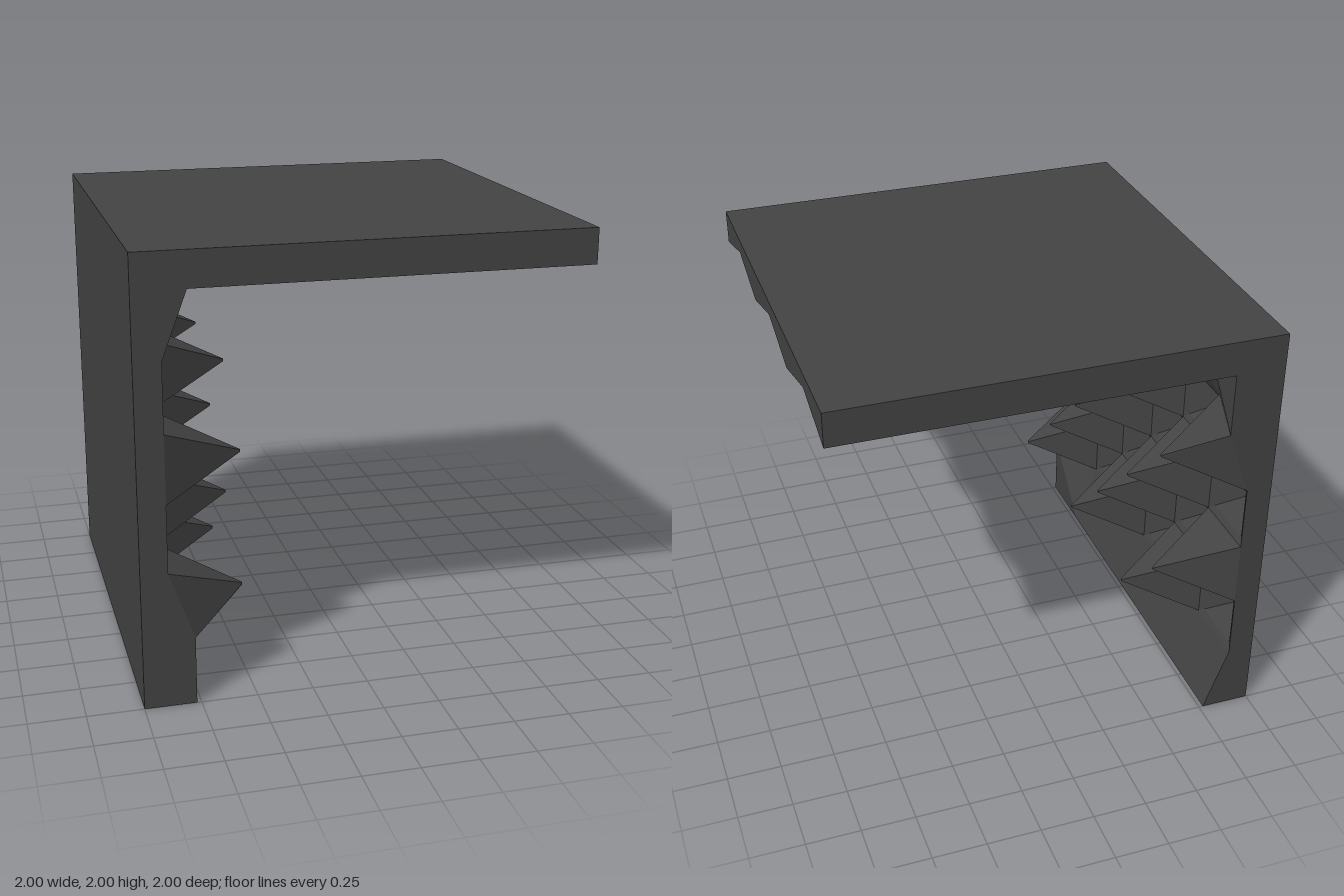
import * as THREE from 'three';

const WALL = -0.88, LIP = -0.77, TIP = -0.53, ROOF = 1.84;
const COLS = 6, ROWS = 4, Y0 = 0.31, Y1 = 1.545;
const material = new THREE.MeshStandardMaterial({ color: 0x444444, flatShading: true });

const colZ = (c) => 1 - (2 * c) / COLS;
const rowY = (r) => Y0 + ((Y1 - Y0) * r) / ROWS;
// zigzag ridge line of the underside of the roof
const soffitY = (c) => (c % 2 ? 1.93 : ROOF);
// two opposite grid corners are pulled forward to the lip
const gridX = (c, r) => ((c === 0 && r === 0) || (c === COLS && r === ROWS) ? LIP : WALL);
const node = (c, r) => [gridX(c, r), rowY(r), colZ(c)];

// corners: lower left, lower right, upper right, upper left, seen from outside
function quad(out, ll, lr, ur, ul) {
  out.push(...ll, ...lr, ...ul, ...lr, ...ur, ...ul);
}

function addMesh(group, name, geometry) {
  const mesh = new THREE.Mesh(geometry, material);
  mesh.name = name;
  group.add(mesh);
}

function addSurface(group, name, positions) {
  const g = new THREE.BufferGeometry();
  g.setAttribute('position', new THREE.Float32BufferAttribute(positions, 3));
  g.computeVertexNormals();
  addMesh(group, name, g);
}

function flat(points) {
  return new THREE.ShapeGeometry(new THREE.Shape(points.map(([x, y]) => new THREE.Vector2(x, y))));
}

// four sides joining two square rings of corners
function ringWalls(out, outer, inner) {
  for (let i = 0; i < 4; i++) {
    const j = (i + 1) % 4;
    quad(out, outer[i], outer[j], inner[j], inner[i]);
  }
}

export function createModel() {
  const group = new THREE.Group();
  group.name = 'studdedWallWithCanopy';

  // alternating spikes and sunken pockets
  const spikes = [], pockets = [];
  for (let r = 0; r < ROWS; r++) {
    for (let c = 0; c < COLS; c++) {
      const corners = [node(c, r), node(c + 1, r), node(c + 1, r + 1), node(c, r + 1)];
      const cy = (rowY(r) + rowY(r + 1)) / 2, cz = (colZ(c) + colZ(c + 1)) / 2;
      const ring = (x, s) => corners.map(([, y, z]) => [x, cy + (y - cy) * s, cz + (z - cz) * s]);
      if ((r + c) % 2 === 0) {
        const tip = ring(TIP, 0.03);
        ringWalls(spikes, corners, tip);
        quad(spikes, ...tip);
      } else {
        const rim = ring(WALL - 0.015, 0.8), floor = ring(-0.99, 0.12);
        ringWalls(pockets, corners, rim);
        ringWalls(pockets, rim, floor);
        quad(pockets, ...floor);
      }
    }
  }
  addSurface(group, 'spikes', spikes);
  addSurface(group, 'pockets', pockets);

  // sloping strips below and above the studs, and the ridged soffit
  const skirt = [], cove = [], soffit = [];
  for (let c = 0; c < COLS; c++) {
    const z = colZ(c), zn = colZ(c + 1), y = soffitY(c), yn = soffitY(c + 1);
    quad(skirt, [LIP, 0, z], [LIP, 0, zn], node(c + 1, 0), node(c, 0));
    quad(cove, node(c, ROWS), node(c + 1, ROWS), [LIP, yn, zn], [LIP, y, z]);
    quad(soffit, [LIP, y, z], [LIP, yn, zn], [1, yn, zn], [1, y, z]);
  }
  addSurface(group, 'skirt', skirt);
  addSurface(group, 'cove', cove);
  addSurface(group, 'soffit', soffit);

  // flat outer faces
  const shell = [];
  quad(shell, [-1, 0, -1], [-1, 0, 1], [-1, 2, 1], [-1, 2, -1]);
  quad(shell, [-1, 2, 1], [1, 2, 1], [1, 2, -1], [-1, 2, -1]);
  quad(shell, [-1, 0, -1], [LIP, 0, -1], [LIP, 0, 1], [-1, 0, 1]);
  addSurface(group, 'outerShell', shell);

  // end profiles follow the first and last grid column
  const profile = (c) => {
    const pts = [[-1, 0], [LIP, 0]];
    for (let r = 0; r <= ROWS; r++) pts.push([gridX(c, r), rowY(r)]);
    return [...pts, [LIP, ROOF], [1, ROOF], [1, 2], [-1, 2]];
  };
  addMesh(group, 'frontEnd', flat(profile(0)).translate(0, 0, 1));
  const mirrored = profile(COLS).map(([x, y]) => [-x, y]);
  addMesh(group, 'backEnd', flat(mirrored).rotateY(Math.PI).translate(0, 0, -1));

  // zigzag edge of the canopy
  const edge = [];
  for (let c = 0; c <= COLS; c++) edge.push([-colZ(c), soffitY(c)]);
  edge.push([1, 2], [-1, 2]);
  addMesh(group, 'canopyEdge', flat(edge).rotateY(Math.PI / 2).translate(1, 0, 0));

  return group;
}
